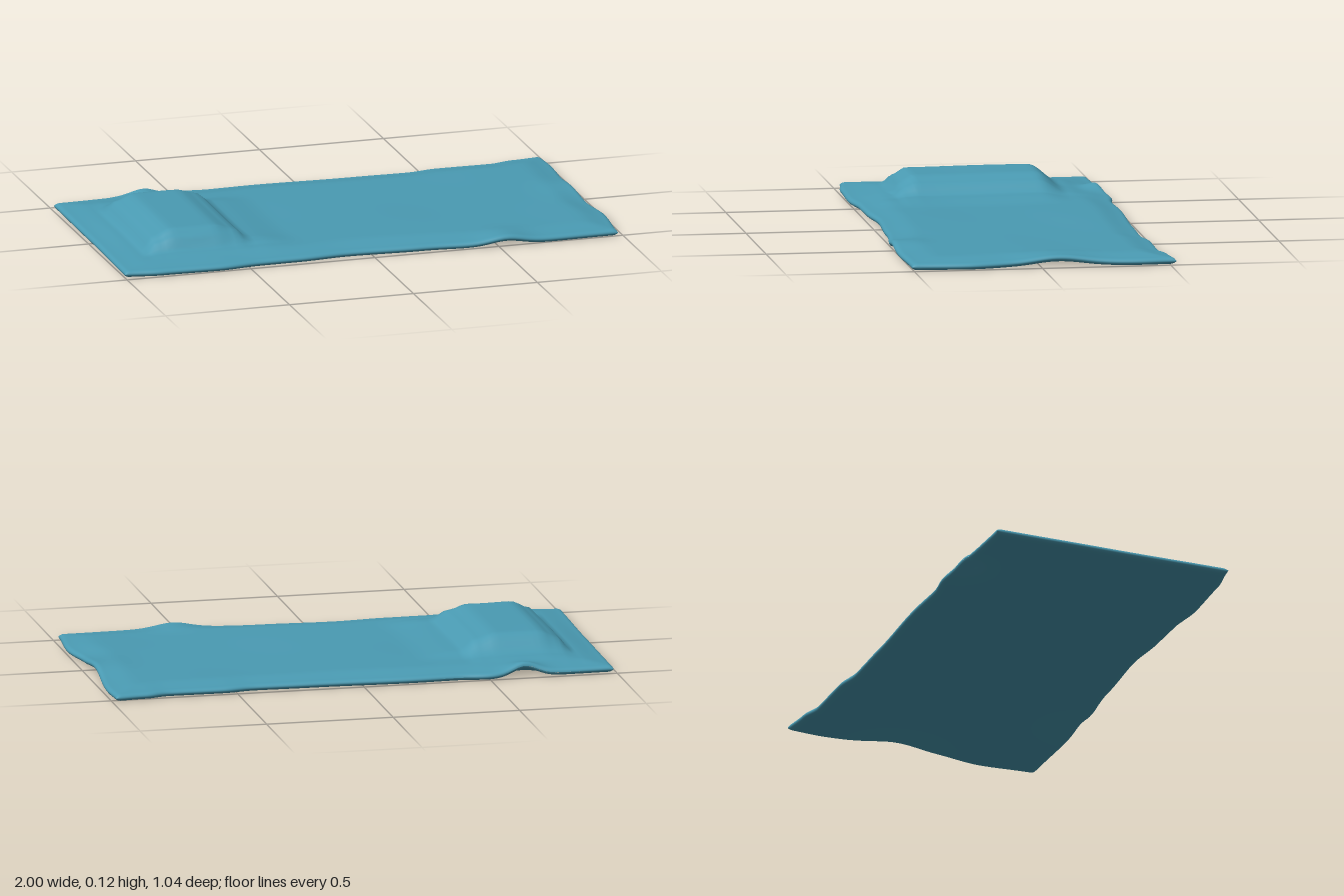
import * as THREE from 'three';
import { mergeVertices } from 'three/addons/utils/BufferGeometryUtils.js';

// smooth interpolation through [position, value] pairs
function curve(points) {
  return (p) => {
    let i = 0;
    while (i < points.length - 2 && p > points[i + 1][0]) i++;
    const [a, b] = [points[i], points[i + 1]];
    const t = THREE.MathUtils.smoothstep(p, a[0], b[0]);
    return a[1] + (b[1] - a[1]) * t;
  };
}

// wavy outline of the cloth: z along x for back and front, x along z for the sides
const backEdge = curve([[-1, -0.485], [-0.75, -0.49], [-0.66, -0.475], [-0.5, -0.505], [-0.38, -0.49],
  [-0.2, -0.495], [0.2, -0.48], [0.43, -0.475], [0.55, -0.493], [0.77, -0.49], [0.86, -0.512], [1, -0.525]]);
const frontEdge = curve([[-1, 0.478], [-0.85, 0.498], [-0.62, 0.505], [-0.45, 0.487], [-0.3, 0.485],
  [-0.1, 0.47], [0.2, 0.485], [0.52, 0.515], [1, 0.505]]);
const leftSide = curve([[-0.5, -0.99], [0, -0.993], [0.5, -1]]);
const rightSide = curve([[-0.5, 0.985], [-0.38, 0.991], [-0.08, 0.97], [0.1, 0.975], [0.28, 0.997], [0.5, 0.98]]);

// hump profiles: across the pillow and along it
const humpX = curve([[-1, 0], [-0.87, 0], [-0.83, 0.62], [-0.75, 1], [-0.58, 1], [-0.5, 0.74], [-0.44, 0.22], [-0.25, 0]]);
const humpZ = curve([[-0.5, 0], [-0.41, 0.04], [-0.33, 0.18], [-0.22, 1], [0.26, 1], [0.305, 0.7], [0.345, 0.13], [0.42, 0]]);

const bell = (d, w) => Math.exp(-(d * d) / (w * w));

// places where the hem is lifted off the ground
function lift(x, z) {
  return 0.02 * bell(x - 0.53, 0.09) * bell(z - 0.51, 0.1)
    + 0.02 * bell(z + 0.07, 0.13) * bell(x - 0.98, 0.1)
    + 0.03 * bell(x + 0.64, 0.07) * bell(z + 0.47, 0.06);
}

// shallow folds in the upper side
function folds(x, z) {
  return 0.003 * Math.sin(5 * x + 3 * z) * Math.sin(6 * z - 2 * x)
    + 0.006 * bell(x + 0.25 + 0.4 * z, 0.1) * bell(z - 0.36, 0.1);
}

// grid steps, closely spaced at the rounded hem
function steps(count, length) {
  const hem = [0, 0.001, 0.004, 0.008, 0.013, 0.019, 0.026].map((d) => d / length);
  const inner = Array.from({ length: count + 1 }, (_, i) => 0.04 / length + (1 - 0.08 / length) * i / count);
  return [...hem, ...inner, ...hem.map((d) => 1 - d).reverse()];
}

function clothGeometry() {
  const us = steps(90, 2), vs = steps(56, 1);
  const positions = [], indices = [];
  for (const side of [1, -1]) {
    const base = positions.length / 3;
    for (const v of vs) for (const u of us) {
      const x = THREE.MathUtils.lerp(leftSide(v - 0.5), rightSide(v - 0.5), u);
      const z = THREE.MathUtils.lerp(backEdge(x), frontEdge(x), v);
      const roundOff = (d) => Math.sqrt(1 - (1 - Math.min(d / 0.02, 1)) ** 2);
      const thick = 0.013 * roundOff(Math.min(u, 1 - u) * 2) * roundOff(Math.min(v, 1 - v));
      const inside = THREE.MathUtils.smoothstep(Math.min(u * 2, 2 - u * 2, v, 1 - v), 0.01, 0.12);
      let y = 0.016 + lift(x, z) + side * thick;
      if (side > 0) y += inside * (0.013 + folds(x, z)) + 0.078 * humpX(x) * humpZ(z);
      positions.push(x, y, z);
    }
    const n = us.length;
    for (let j = 0; j < vs.length - 1; j++) for (let i = 0; i < n - 1; i++) {
      const a = base + j * n + i, b = a + 1, c = a + n, d = c + 1;
      if (side > 0) indices.push(a, c, b, b, c, d);
      else indices.push(a, b, c, b, d, c);
    }
  }
  const geometry = new THREE.BufferGeometry();
  geometry.setAttribute('position', new THREE.Float32BufferAttribute(positions, 3));
  geometry.setIndex(indices);
  // join the two sides along the hem
  const joined = mergeVertices(geometry, 1e-5);
  joined.computeVertexNormals();
  joined.computeBoundingBox();
  joined.translate(0, -joined.boundingBox.min.y, 0);
  return joined;
}

export function createModel() {
  const model = new THREE.Group();
  const material = new THREE.MeshStandardMaterial({ color: 0x4a9bb3 });
  const blanket = new THREE.Mesh(clothGeometry(), material);
  blanket.name = 'blanketOverPillow';
  model.add(blanket);
  return model;
}
